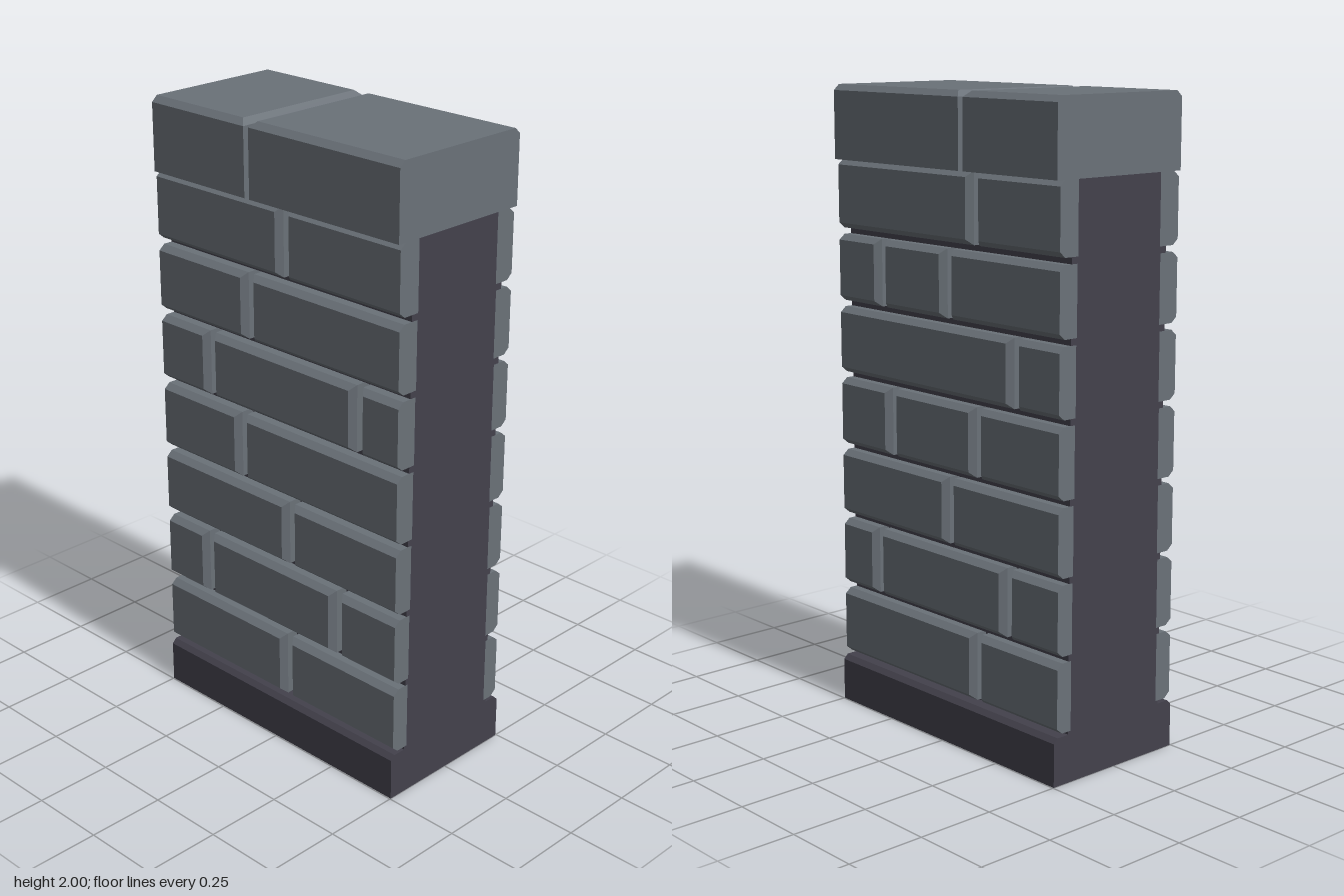
import * as THREE from 'three';

const stone = new THREE.MeshStandardMaterial({ color: 0x6a7178 });
stone.name = 'grey stone';
const dark = new THREE.MeshStandardMaterial({ color: 0x43414c });
dark.name = 'dark mortar';

const HALF = 0.5; // half the wall length; ends here are cut flush

// Block whose +z face is bevelled, except along the flush wall ends
function bevelBlock(x0, x1, y0, y1, z0, z1, bevel, depth) {
  const l = x0 > -HALF ? bevel : 0;
  const r = x1 < HALF ? bevel : 0;
  const ring = (a, b, c, d, z) => [[a, c, z], [b, c, z], [b, d, z], [a, d, z]];
  const rings = [
    ring(x0, x1, y0, y1, z0),
    ring(x0, x1, y0, y1, z1 - depth),
    ring(x0 + l, x1 - r, y0 + bevel, y1 - bevel, z1),
  ];
  const pos = [];
  const quad = (a, b, c, d) => pos.push(...a, ...b, ...c, ...a, ...c, ...d);
  for (let k = 0; k < 2; k++) {
    for (let i = 0; i < 4; i++) {
      const j = (i + 1) % 4;
      quad(rings[k][i], rings[k][j], rings[k + 1][j], rings[k + 1][i]);
    }
  }
  quad(...rings[2]);
  quad(...[...rings[0]].reverse());
  const geo = new THREE.BufferGeometry();
  geo.setAttribute('position', new THREE.Float32BufferAttribute(pos, 3));
  geo.computeVertexNormals();
  return geo;
}

// Courses from the bottom: height range and joint positions on each face
const courses = [
  { y: [0.16, 0.375], front: [0.04], back: [-0.14] },
  { y: [0.395, 0.61], front: [-0.315, 0.255], back: [-0.275, 0.33] },
  { y: [0.63, 0.84], front: [0.055], back: [-0.015] },
  { y: [0.86, 1.075], front: [-0.15], back: [-0.14, 0.255] },
  { y: [1.095, 1.305], front: [-0.285, 0.335], back: [-0.305] },
  { y: [1.325, 1.535], front: [-0.11], back: [-0.01, 0.3] },
  { y: [1.555, 1.77], front: [0.04], back: [-0.13] },
];
const coreHalf = (i) => 0.18 - i * 0.0025; // the core narrows upwards

export function createModel() {
  const model = new THREE.Group();
  model.name = 'brickWall';
  const add = (name, geo, mat, parent = model) => {
    const mesh = new THREE.Mesh(geo, mat);
    mesh.name = name;
    parent.add(mesh);
    return mesh;
  };

  // Plinth
  add('plinth', bevelBlock(-HALF, HALF, -0.247, 0.247, 0, 0.15, 0.015, 0.015).rotateX(-Math.PI / 2), dark);

  // Core, stepping out into the mortar gaps between courses
  const side = [[0.19, 0.14]];
  courses.forEach(({ y }, i) => {
    const w = coreHalf(i);
    side.push([0.19, y[0]], [w, y[0]], [w, y[1]]);
    if (i < courses.length - 1) side.push([0.19, y[1]]);
  });
  const outline = [...side, ...side.map(([z, y]) => [-z, y]).reverse()];
  const core = new THREE.ExtrudeGeometry(
    new THREE.Shape(outline.map((p) => new THREE.Vector2(...p))),
    { depth: 2 * HALF, bevelEnabled: false });
  add('core', core.translate(0, 0, -HALF).rotateY(Math.PI / 2), dark);

  // Facing bricks, front and back
  for (const face of ['front', 'back']) {
    const group = new THREE.Group();
    group.name = face + 'Bricks';
    const isBack = face === 'back';
    if (isBack) group.rotation.y = Math.PI;
    courses.forEach((course, i) => {
      const joints = course[face].map((x) => (isBack ? -x : x)).sort((a, b) => a - b);
      const ends = [-HALF, ...joints, HALF];
      for (let k = 0; k < ends.length - 1; k++) {
        const x0 = ends[k] + (k > 0 ? 0.012 : 0);
        const x1 = ends[k + 1] - (k < ends.length - 2 ? 0.012 : 0);
        add('brick', bevelBlock(x0, x1, course.y[0], course.y[1], coreHalf(i),
          isBack ? 0.235 : 0.24, 0.017, 0.02), stone, group);
      }
    });
    model.add(group);
  }

  // Two cap stones with an open joint and a strip of mortar at its foot
  for (const [x0, x1] of [[-HALF, -0.105], [-0.085, HALF]]) {
    add('capStone', bevelBlock(x0, x1, -0.247, 0.247, 1.77, 2, 0.02, 0.018).rotateX(-Math.PI / 2), stone);
  }
  add('capMortar', new THREE.BoxGeometry(0.02, 0.025, 0.36).translate(-0.095, 1.782, 0), dark);

  return model;
}
